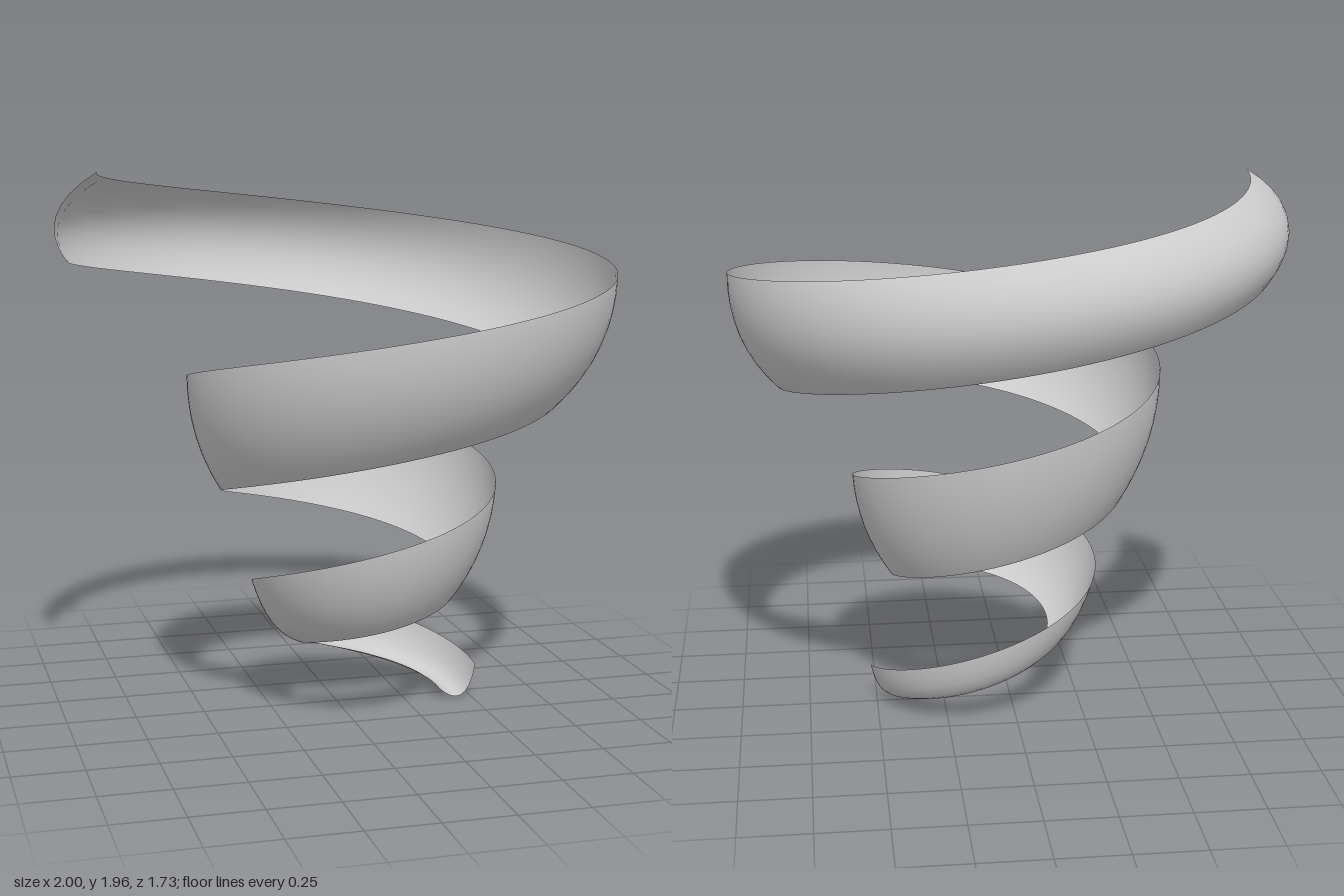
import * as THREE from 'three';
import { ParametricGeometry } from 'three/addons/geometries/ParametricGeometry.js';

// Stations every quarter turn: [radius, height] from the spiral axis
const lowerEdge = [[0.27, 0.04], [0.22, 0.14], [0.25, 0.25], [0.305, 0.36], [0.335, 0.48], [0.43, 0.64],
  [0.54, 0.83], [0.62, 1.03], [0.72, 1.21], [0.85, 1.43], [1.065, 1.65]];
const middle = [[0.365, 0.0], [0.325, 0.15], [0.355, 0.335], [0.40, 0.505], [0.43, 0.665], [0.515, 0.835],
  [0.63, 1.03], [0.745, 1.22], [0.85, 1.40], [0.93, 1.62], [1.10, 1.81]];
const upperEdge = [[0.42, 0.115], [0.38, 0.30], [0.43, 0.50], [0.45, 0.69], [0.47, 0.87], [0.56, 1.06],
  [0.66, 1.25], [0.79, 1.45], [0.89, 1.63], [0.85, 1.80], [0.96, 1.955]];

const TURNS = 2.5;
const AXIS_X = 0.1;
const AXIS_Z = 0.07;

const rail = (stations) => new THREE.CatmullRomCurve3(
  stations.map(([r, y]) => new THREE.Vector3(r, y, 0)), false, 'catmullrom', 0.5);

export function createModel() {
  const group = new THREE.Group();
  group.name = 'spiralRibbon';

  const rails = [lowerEdge, middle, upperEdge].map(rail);
  const p = new THREE.Vector3();

  // Curved cross-section through the three rails, swept around the axis
  const surface = (u, v, target) => {
    const weights = [(2 * v - 1) * (v - 1), 4 * v * (1 - v), v * (2 * v - 1)];
    let radius = 0;
    let height = 0;
    rails.forEach((curve, i) => {
      curve.getPoint(THREE.MathUtils.clamp(u, 0, 1), p);
      radius += weights[i] * p.x;
      height += weights[i] * p.y;
    });
    // The far end leans slightly along the path
    const angle = u * TURNS * Math.PI * 2 + 0.035 * (v - 0.7) * u;
    target.set(AXIS_X + radius * Math.cos(angle), height, AXIS_Z - radius * Math.sin(angle));
  };

  const ribbon = new THREE.Mesh(
    new ParametricGeometry(surface, 240, 8),
    new THREE.MeshStandardMaterial({ color: 0xcccccc, side: THREE.DoubleSide }));
  ribbon.name = 'ribbon';
  group.add(ribbon);
  return group;
}
